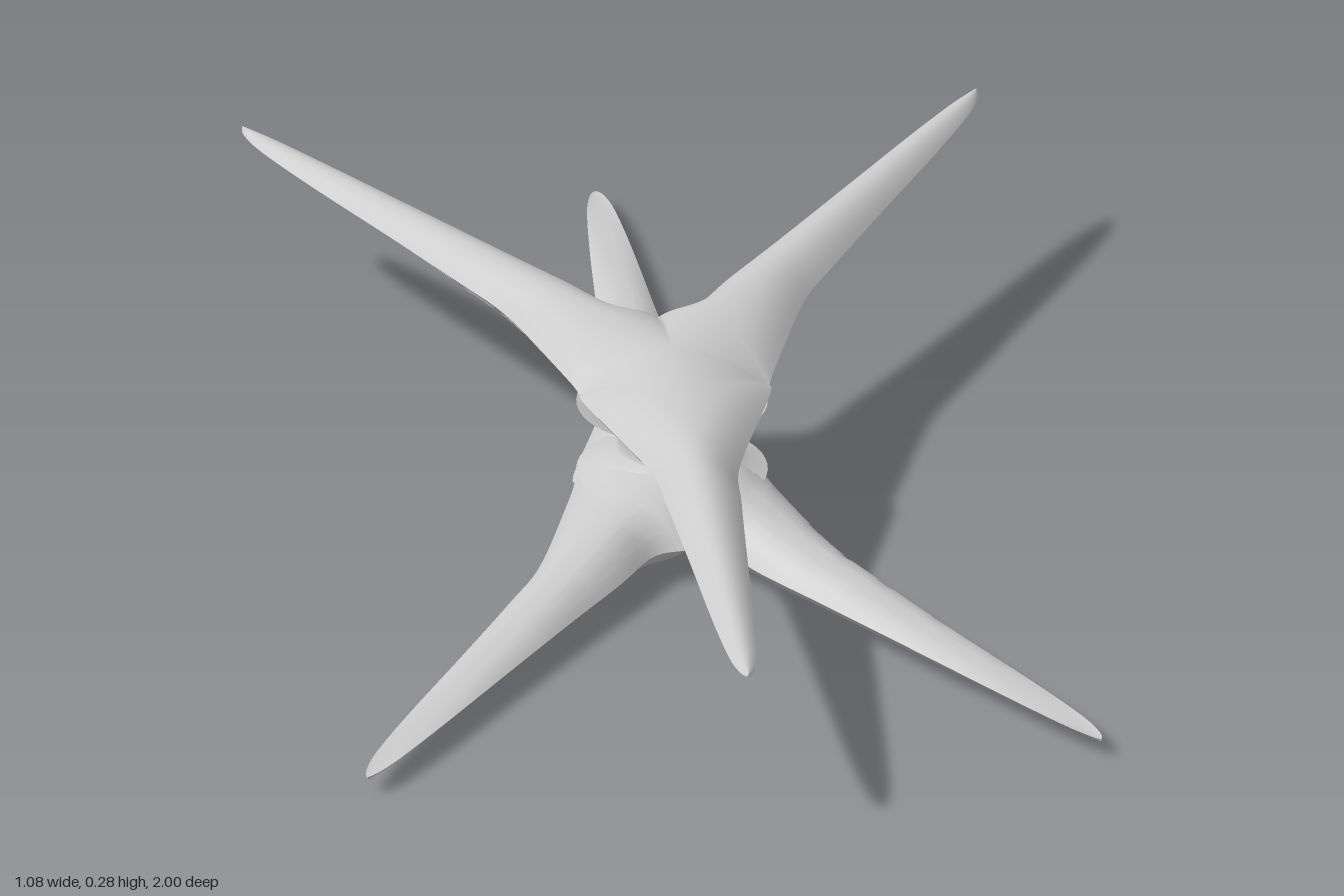
import * as THREE from 'three';
import { mergeGeometries, mergeVertices } from 'three/addons/utils/BufferGeometryUtils.js';

const material = new THREE.MeshStandardMaterial({ color: 0xcccccc, side: THREE.DoubleSide });
const HEIGHT = 0.284;
const INNER = 0.3; // share of the arm parameter spent inside the hub
const V2 = (x, y) => new THREE.Vector2(x, y);

// half-width against distance along an arm, as fractions of its length
const widths = [[0.3, 0.066], [0.42, 0.055], [0.6, 0.043], [0.8, 0.031], [0.93, 0.02], [0.985, 0.009], [1, 0]];
// height of the keel line along the hub side of an arm
const keel = [[0, 0.16], [0.08, 0.165], [0.18, 0.185], [0.36, 0.21], [0.54, 0.228], [0.8, 0.245], [1, 0.256]];

function lookup(table, u) {
  let i = 1;
  while (i < table.length - 1 && table[i][0] < u) i++;
  const [a, b] = [table[i - 1], table[i]];
  return THREE.MathUtils.mapLinear(u, a[0], b[0], a[1], b[1]);
}

// one arm: x/z plane curves for its ridge and both edges, starting at the hub
function makeArm(tip, valleyPlus, valleyMinus) {
  const length = tip.length();
  const dir = tip.clone().normalize();
  const side = V2(dir.y, -dir.x);
  const at = (u, w) => dir.clone().multiplyScalar(u * length).addScaledVector(side, w);
  const edge = (valley, sign) => {
    const tangent = V2(-valley.y, valley.x).normalize();
    if (tangent.dot(dir) < 0) tangent.negate();
    const bend = valley.clone().multiplyScalar(1.03).addScaledVector(tangent, 0.05);
    return new THREE.SplineCurve([valley, bend, ...widths.map(([u, w]) => at(u, sign * w))]);
  };
  return {
    length,
    ridge: new THREE.SplineCurve([at(0.13, 0), at(0.2, 0), ...widths.map(([u]) => at(u, 0))]),
    plus: edge(valleyPlus, 1),
    minus: edge(valleyMinus, -1),
  };
}

// point on an arm: t runs hub to tip, v runs edge to edge (-1..1)
function armPoint(arm, t, v, under, lift = 0) {
  const s = Math.min(1, t / INNER);
  const q = Math.max(0, (t - INNER) / (1 - INNER));
  const centre = arm.ridge.getPoint(q).multiplyScalar(s);
  const rim = (v > 0 ? arm.plus : arm.minus).getPoint(q).multiplyScalar(s);
  const p = centre.clone().lerp(rim, Math.abs(v));
  const u = Math.min(1, centre.length() / arm.length);
  const rimY = t < INNER
    ? (under ? 0.16 + 0.07 * s ** 3 : HEIGHT - 0.054 * s * s)
    : 0.23 + 0.027 * q ** 0.8;
  const midY = under ? lookup(keel, u) : HEIGHT - 0.023 * u ** 1.3;
  const y = rimY + (midY - rimY) * (1 - Math.abs(v) ** (under ? 2.5 : 2));
  return [p.x, y - lift, p.y];
}

// regular patch of an arm surface
function patch(arm, under, t0, t1, v0, v1, nt, nv, lift = 0) {
  const pos = [], index = [];
  for (let i = 0; i <= nt; i++) for (let j = 0; j <= nv; j++) {
    const t = t0 + (t1 - t0) * i / nt, v = v0 + (v1 - v0) * j / nv;
    pos.push(...armPoint(arm, t, v, under, lift));
    if (i === nt || j === nv) continue;
    const a = i * (nv + 1) + j, b = a + nv + 1;
    if (under) index.push(a, a + 1, b, b, a + 1, b + 1);
    else index.push(a, b, a + 1, b, b + 1, a + 1);
  }
  const g = new THREE.BufferGeometry();
  g.setAttribute('position', new THREE.Float32BufferAttribute(pos, 3));
  g.setIndex(index);
  return g;
}

function addMesh(group, name, geometries) {
  const g = mergeVertices(mergeGeometries(geometries), 1e-5);
  g.computeVertexNormals();
  const mesh = new THREE.Mesh(g, material);
  mesh.name = name;
  group.add(mesh);
}

// three-armed hull, smooth outside and panelled on the hub side
function makeStar(name) {
  const star = new THREE.Group();
  star.name = name;
  const left = V2(0.14, 0.03), right = V2(-0.14, 0.03), back = V2(0, -0.2);
  const arms = [
    makeArm(V2(0, 1), left, right),
    makeArm(V2(0.54, -0.815), back, left),
    makeArm(V2(-0.54, -0.815), right, back),
  ];
  addMesh(star, 'outerHull', arms.map((a) => patch(a, false, 0, 1, -1, 1, 60, 20)));
  addMesh(star, 'innerHull', arms.map((a) => patch(a, true, 0, 1, -1, 1, 60, 20)));

  // shallow staggered plates along the inner side
  const plates = [];
  for (const arm of arms) for (let row = 0; row < 9; row++) {
    const t = 0.34 + row * 0.062;
    for (const [v0, v1, shift] of [[-0.8, -0.35, 0], [-0.25, 0.25, 0.02], [0.35, 0.8, 0]]) {
      plates.push(patch(arm, true, t + shift, t + shift + 0.045, v0, v1, 3, 4, 0.002));
    }
  }
  addMesh(star, 'innerPlates', plates);
  return star;
}

export function createModel() {
  const model = new THREE.Group();
  const upper = makeStar('upperStar');
  const lower = makeStar('lowerStar');
  lower.rotation.x = Math.PI;
  lower.position.y = HEIGHT;
  model.add(upper, lower);

  // waisted neck flaring into both hulls
  const half = [[0.079, 0], [0.079, 0.013], [0.083, 0.016], [0.085, 0.022], [0.095, 0.034], [0.115, 0.046], [0.14, 0.056]];
  const profile = [...half.slice(1).reverse().map(([r, y]) => V2(r, -y)), ...half.map(([r, y]) => V2(r, y))];
  const neck = new THREE.Mesh(new THREE.LatheGeometry(profile, 48), material);
  neck.name = 'neck';
  neck.position.y = HEIGHT / 2;
  model.add(neck);
  return model;
}
